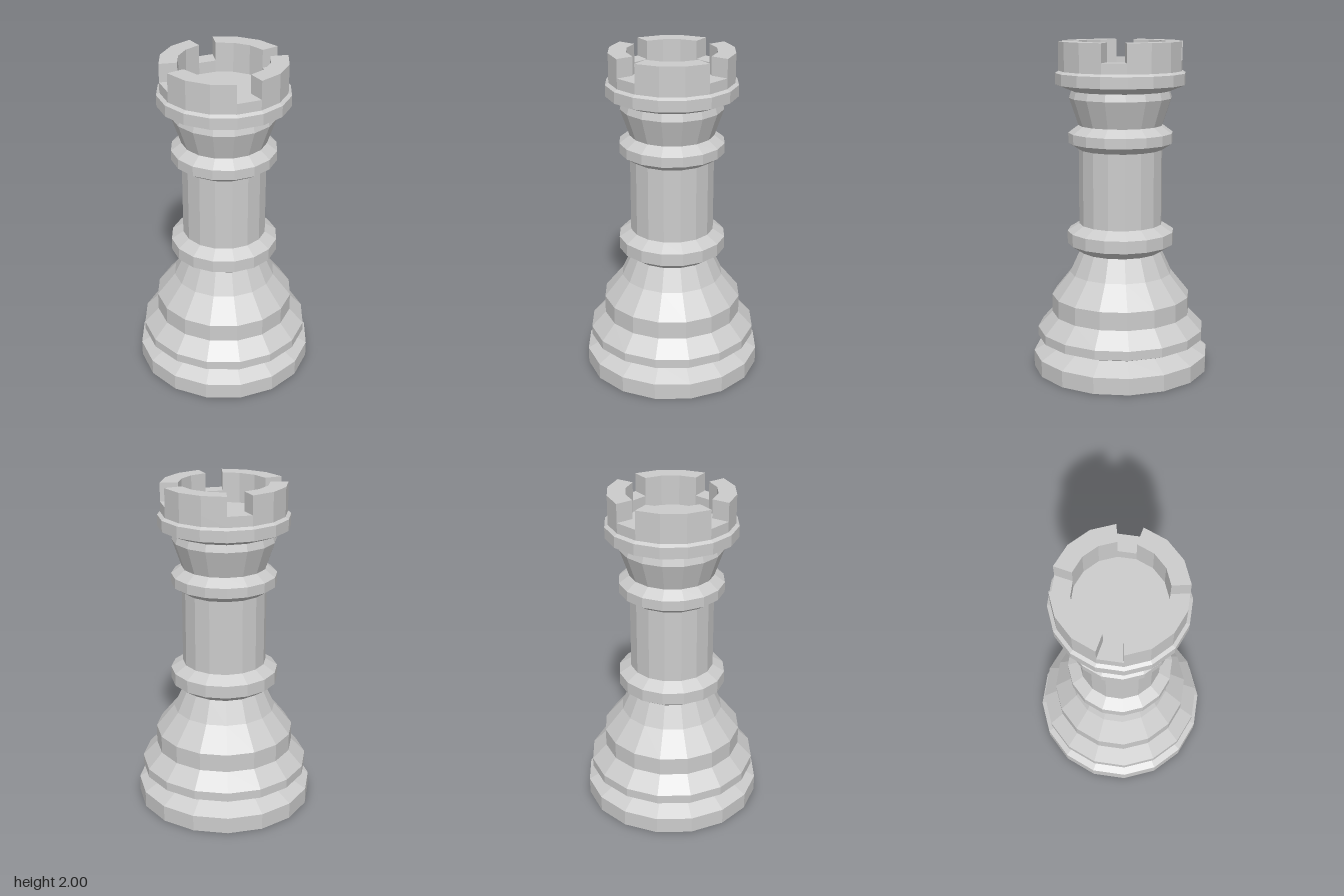
import * as THREE from 'three';

const SIDES = 16;
const STEP = (Math.PI * 2) / SIDES;
const RIM = 0.37, WELL = 0.265, NOTCH_Y = 1.89, TOP_Y = 2;

// Each profile is [radius, height] from bottom to top; every part starts where the last one ends.
const PROFILES = {
  foot: [[0, 0], [0.54, 0], [0.54, 0.1], [0.425, 0.165]],
  baseMoulding: [[0.425, 0.165], [0.513, 0.2], [0.513, 0.255], [0.424, 0.35], [0.424, 0.46]],
  skirt: [[0.424, 0.46], [0.312, 0.6], [0.25, 0.735]],
  lowerCollar: [[0.25, 0.735], [0.325, 0.785], [0.325, 0.86], [0.253, 0.905]],
  shaft: [[0.253, 0.905], [0.253, 1.36]],
  upperCollar: [[0.253, 1.36], [0.315, 1.4], [0.315, 1.46], [0.253, 1.505]],
  cup: [[0.253, 1.505], [0.308, 1.667], [0.296, 1.71]],
  headRing: [[0.296, 1.71], [0.39, 1.748], [0.39, 1.815], [RIM, 1.828]],
  // Low wall under the battlements, with the sunken floor inside it
  parapet: [[RIM, 1.828], [RIM, NOTCH_Y], [WELL, NOTCH_Y], [WELL, 1.82], [0, 1.82]],
};

// One battlement block spanning three sides of the polygon
function merlonGeometry(firstSide) {
  const at = (r, k) => new THREE.Vector2(r * Math.sin(k * STEP), -r * Math.cos(k * STEP));
  const outer = [], inner = [];
  for (let k = firstSide; k <= firstSide + 3; k++) {
    outer.push(at(RIM, k));
    inner.unshift(at(WELL, k));
  }
  const geometry = new THREE.ExtrudeGeometry(new THREE.Shape([...outer, ...inner]), {
    depth: TOP_Y - NOTCH_Y,
    bevelEnabled: false,
  });
  geometry.rotateX(-Math.PI / 2);
  geometry.translate(0, NOTCH_Y, 0);
  return geometry;
}

export function createModel() {
  const group = new THREE.Group();
  group.name = 'rook';
  const material = new THREE.MeshStandardMaterial({ color: 0xcccccc, flatShading: true });

  const add = (name, geometry, parent = group) => {
    const mesh = new THREE.Mesh(geometry, material);
    mesh.name = name;
    parent.add(mesh);
  };

  // Turned body
  for (const [name, profile] of Object.entries(PROFILES)) {
    const points = profile.map(([r, y]) => new THREE.Vector2(r, y));
    add(name, new THREE.LatheGeometry(points, SIDES));
  }

  // Four battlements, each followed by a one-side notch
  const battlements = new THREE.Group();
  battlements.name = 'battlements';
  group.add(battlements);
  for (let i = 0; i < 4; i++) add(`merlon${i + 1}`, merlonGeometry(i * 4), battlements);

  return group;
}
